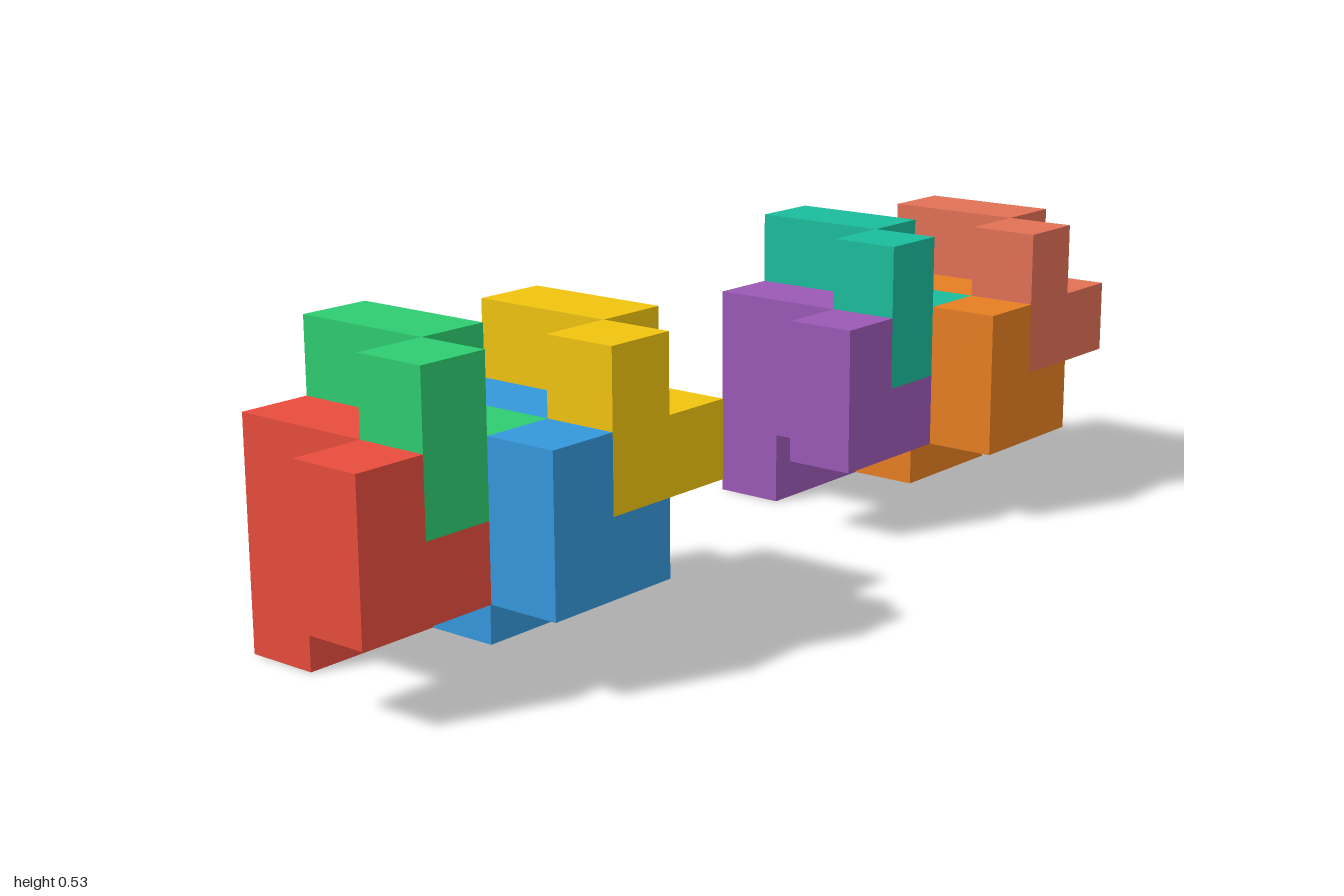
import * as THREE from 'three';
import { mergeGeometries } from 'three/addons/utils/BufferGeometryUtils.js';

const U = 2 / 15; // edge of one unit cube

// One interlocking piece as unit cells [x, y, z], back layer first
const CELLS = [
  [1, 0, 0], [2, 0, 0], [1, 1, 0], [1, 2, 0], // L-shaped back layer
  [1, 1, 1], [1, 2, 1],                       // middle bridge
  [1, 1, 2], [0, 1, 2], [0, 2, 2],            // stepped front layer
];

// Outward directions, each with the rotation that turns a +z plane to face it
const SIDES = [
  [[0, 0, 1], [0, 0]], [[0, 0, -1], [0, Math.PI]],
  [[1, 0, 0], [0, Math.PI / 2]], [[-1, 0, 0], [0, -Math.PI / 2]],
  [[0, 1, 0], [-Math.PI / 2, 0]], [[0, -1, 0], [Math.PI / 2, 0]],
];

// Joins only the outer faces of the cells into one closed skin
function pieceGeometry() {
  const filled = new Set(CELLS.map(String));
  const faces = [];
  for (const cell of CELLS) {
    for (const [dir, [rx, ry]] of SIDES) {
      if (filled.has(String(cell.map((c, a) => c + dir[a])))) continue;
      const centre = cell.map((c, a) => (c + 0.5 + dir[a] / 2) * U);
      faces.push(new THREE.PlaneGeometry(U, U).rotateX(rx).rotateY(ry).translate(...centre));
    }
  }
  return mergeGeometries(faces);
}

export function createModel() {
  const model = new THREE.Group();
  model.name = 'interlockingPuzzlePair';
  const geometry = pieceGeometry();

  // Cell offset of each piece inside a cluster
  const slots = [
    ['lowerBackPiece', [0, 0, 0]],
    ['upperBackPiece', [1, 1, 0]],
    ['lowerFrontPiece', [2, 0, 1]],
    ['upperFrontPiece', [3, 1, 1]],
  ];
  const clusters = [
    ['rightCluster', -1, [0xe74c3c, 0x2ecc71, 0x3498db, 0xf1c40f]],
    ['leftCluster', 0.2, [0x9b59b6, 0x1abc9c, 0xe67e22, 0xe17055]],
  ];

  for (const [name, x, colors] of clusters) {
    const cluster = new THREE.Group();
    cluster.name = name;
    cluster.position.set(x, 0, -2 * U);
    slots.forEach(([pieceName, offset], i) => {
      const piece = new THREE.Mesh(geometry, new THREE.MeshStandardMaterial({ color: colors[i] }));
      piece.name = pieceName;
      piece.position.set(...offset.map((c) => c * U));
      cluster.add(piece);
    });
    model.add(cluster);
  }
  return model;
}
